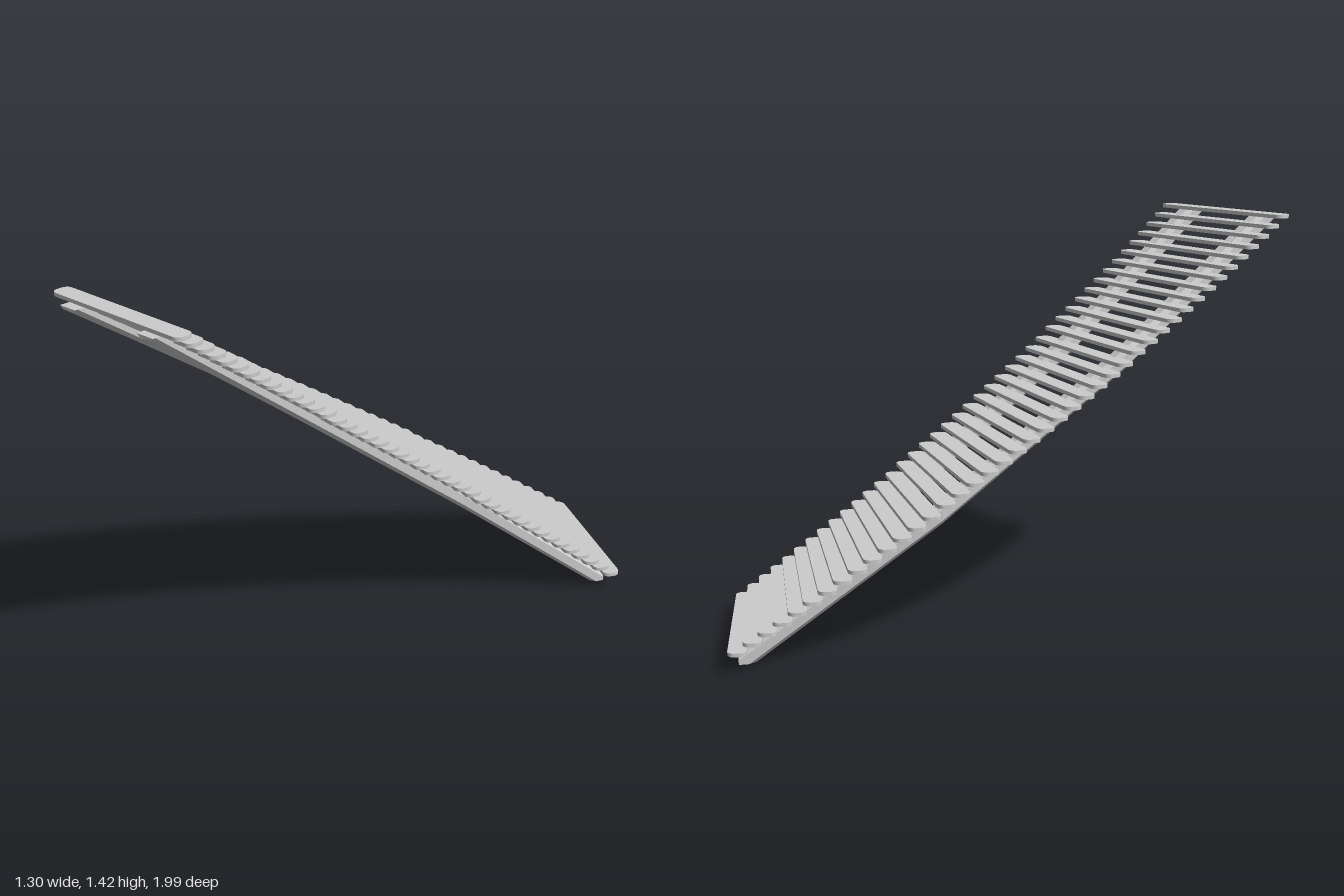
import * as THREE from 'three';

// The flight sweeps around a vertical axis at (CX, CZ)
const CX = 2.92, CZ = 1.387, R = 3.308;
const RAD = Math.PI / 180;
const onArc = (r, deg, y) =>
  new THREE.Vector3(CX - r * Math.cos(deg * RAD), y, CZ - r * Math.sin(deg * RAD));

const mat = new THREE.MeshStandardMaterial({ color: 0xcccccc, flatShading: true });

// Thin board with rounded corners, long side along x
function treadGeometry(len, depth, thick, r) {
  const x = len / 2, y = depth / 2, s = new THREE.Shape();
  s.moveTo(-x + r, -y);
  s.lineTo(x - r, -y);
  s.absarc(x - r, -y + r, r, -Math.PI / 2, 0);
  s.absarc(x - r, y - r, r, 0, Math.PI / 2);
  s.absarc(-x + r, y - r, r, Math.PI / 2, Math.PI);
  s.absarc(-x + r, -y + r, r, Math.PI, Math.PI * 1.5);
  return new THREE.ExtrudeGeometry(s, { depth: thick, bevelEnabled: false, curveSegments: 5 })
    .translate(0, 0, -thick / 2).rotateX(-Math.PI / 2);
}

// Chamfered beam in three straight runs, trimmed level at the floor and under the top tread
function stringerGeometry(offset) {
  const w = 0.036, h = 0.036, c = 0.017, top = 1.409;
  const section = [[w, -h + c], [w, h - c], [w - c, h], [-w + c, h],
    [-w, h - c], [-w, -h + c], [-w + c, -h], [w - c, -h]];
  const n = section.length;
  const knots = [0, 1, 2, 3].map(k => section.map(([u, v]) =>
    onArc(R + offset + u, 7.2 + 11.27 * k, 1.435 - 0.48 * k + v)));

  // move end points that pass a level back along the beam to that level
  const slide = (end, inner, level, past) => end.map((p, i) =>
    past(p.y) ? p.clone().lerp(inner[i], (level - p.y) / (inner[i].y - p.y)) : p.clone());
  const clampY = ring => ring.map(p => p.clone().setY(THREE.MathUtils.clamp(p.y, 0, top)));

  const rings = [
    clampY(knots[0]),
    slide(knots[0], knots[1], top, y => y > top),
    knots[1], knots[2],
    slide(knots[3], knots[2], 0, y => y < 0),
    clampY(knots[3]),
  ];
  const index = [], last = (rings.length - 1) * n;
  for (let k = 0; k < rings.length - 1; k++) {
    for (let i = 0; i < n; i++) {
      const a = k * n + i, b = k * n + (i + 1) % n;
      index.push(a, b, b + n, a, b + n, a + n);
    }
  }
  for (let i = 1; i < n - 1; i++) {
    index.push(0, i + 1, i, last, last + i, last + i + 1);
  }
  const g = new THREE.BufferGeometry().setFromPoints(rings.flat());
  g.setIndex(index);
  const flat = g.toNonIndexed();
  flat.computeVertexNormals();
  return flat;
}

export function createModel() {
  const group = new THREE.Group();
  group.name = 'curvedStaircase';

  // Treads: three runs of fourteen, a slightly taller step between runs
  const board = treadGeometry(0.59, 0.064, 0.013, 0.024);
  const treads = new THREE.Group();
  treads.name = 'treads';
  const count = 42, rise = 0.0326, extra = 0.0045;
  for (let i = 0; i < count; i++) {
    const deg = 8.3 + (41 - 8.3) * i / (count - 1);
    const tread = new THREE.Mesh(board, mat);
    tread.name = 'tread';
    tread.position.copy(onArc(R + 0.005, deg, 1.4155 - rise * i - extra * Math.floor(i / 14)));
    tread.rotation.y = -deg * RAD;
    treads.add(tread);
  }
  group.add(treads);

  // Supporting beams under the treads
  for (const [name, offset] of [['outerStringer', 0.175], ['innerStringer', -0.175]]) {
    const beam = new THREE.Mesh(stringerGeometry(offset), mat);
    beam.name = name;
    group.add(beam);
  }
  return group;
}
